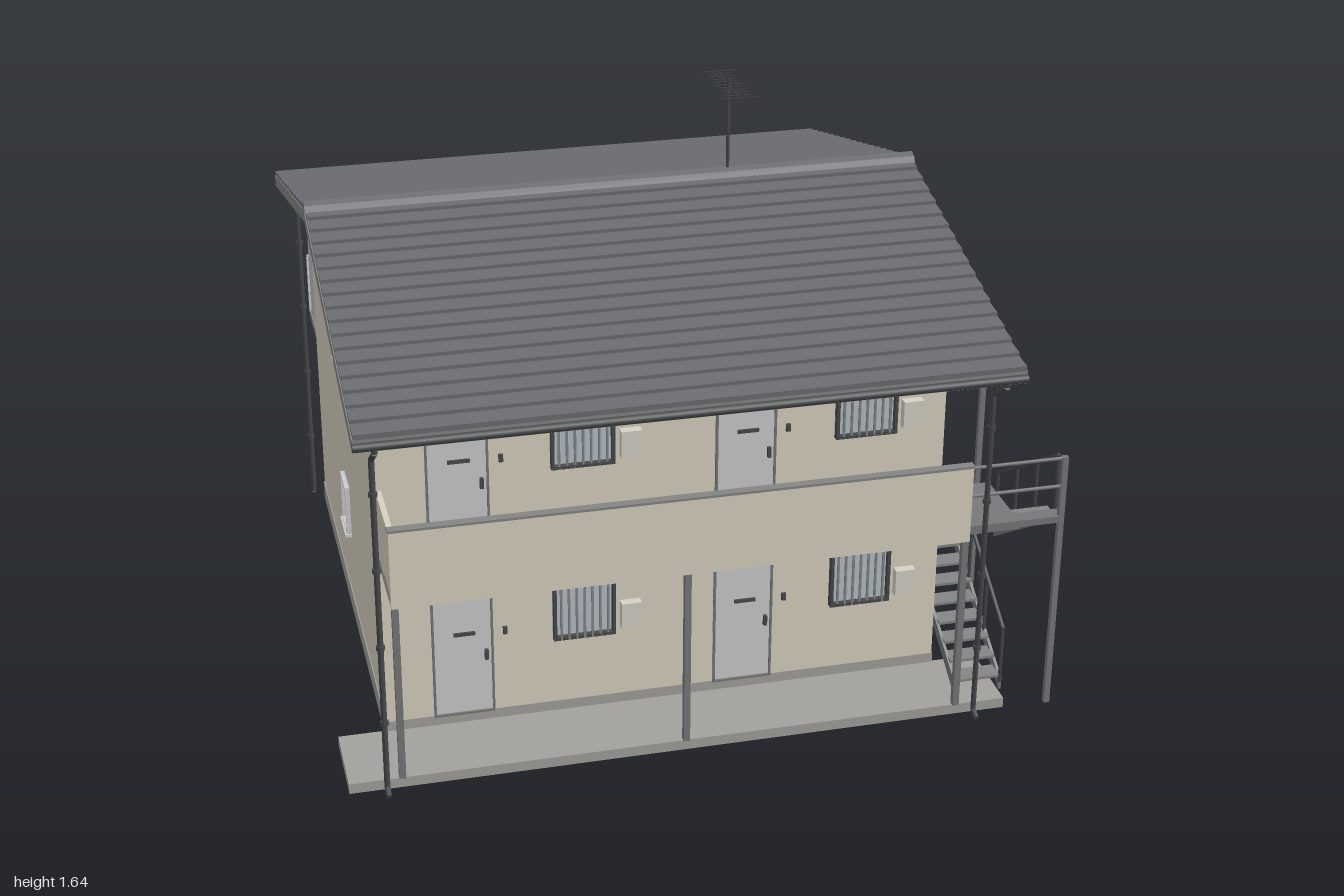
import * as THREE from 'three';

const C = { wall: 0xd8d1c0, grey: 0xcccccc, base: 0xa3a19c, roof: 0x6a6c71, trim: 0x858585, steel: 0x77787a,
  dark: 0x46484a, glass: 0xb4bfc8, darkGlass: 0x343a42, door: 0xc6c7c4, box: 0xd5d2c6 };
const mats = {};
const mat = (c) => (mats[c] ??= new THREE.MeshStandardMaterial({ color: c, side: THREE.DoubleSide }));

function mesh(parent, name, geo, color) {
  const m = new THREE.Mesh(geo, mat(color));
  m.name = name;
  parent.add(m);
  return m;
}
// Box given by its limits on each axis
function box(parent, name, color, x0, x1, y0, y1, z0, z1) {
  const m = mesh(parent, name, new THREE.BoxGeometry(x1 - x0, y1 - y0, z1 - z0), color);
  m.position.set((x0 + x1) / 2, (y0 + y1) / 2, (z0 + z1) / 2);
  return m;
}
// Round bar between two points
function bar(parent, name, color, a, b, r = 0.004, sides = 6) {
  const A = new THREE.Vector3(...a), B = new THREE.Vector3(...b), d = B.clone().sub(A);
  const m = mesh(parent, name, new THREE.CylinderGeometry(r, r, d.length(), sides), color);
  m.position.copy(A).add(B).multiplyScalar(0.5);
  m.quaternion.setFromUnitVectors(new THREE.Vector3(0, 1, 0), d.normalize());
  return m;
}
// Profile of [z, y] points extruded from x0 to x1
function prism(parent, name, color, pts, x0, x1) {
  const g = new THREE.ExtrudeGeometry(new THREE.Shape(pts.map((p) => new THREE.Vector2(...p))),
    { depth: x1 - x0, bevelEnabled: false });
  return mesh(parent, name, g.rotateY(-Math.PI / 2).translate(x1, 0, 0), color);
}
function group(parent, name, x = 0, y = 0, z = 0, ry = 0) {
  const g = new THREE.Group();
  g.name = name;
  g.position.set(x, y, z);
  g.rotation.y = ry;
  parent.add(g);
  return g;
}
// Framed pane facing local +z, origin at its bottom centre
function pane(g, w, h, frame, glass, t = 0.012, d = 0.014) {
  box(g, 'glass', glass, -w / 2, w / 2, 0, h, 0, 0.004);
  for (const s of [-1, 1]) {
    const x = s * (w / 2 - t / 2), y = s > 0 ? h - t : 0;
    box(g, 'frameSide', frame, x - t / 2, x + t / 2, 0, h, 0, d);
    box(g, 'frameEdge', frame, -w / 2, w / 2, y, y + t, 0, d);
  }
}

function frontUnit(p, x, y) {
  const door = group(p, 'entranceDoor', x, y, 0.65);
  pane(door, 0.17, 0.38, C.steel, C.door, 0.006, 0.01);
  box(door, 'letterSlot', C.dark, -0.025, 0.035, 0.25, 0.26, 0.004, 0.01);
  box(door, 'handle', C.dark, 0.06, 0.07, 0.17, 0.2, 0.004, 0.015);
  box(door, 'doorbell', C.dark, 0.113, 0.125, 0.24, 0.262, 0, 0.008);
  const win = group(p, 'barredWindow', x + 0.34, y + 0.205, 0.65);
  pane(win, 0.175, 0.175, C.dark, C.glass, 0.009, 0.02);
  for (let i = 0; i < 7; i++) {
    const bx = -0.066 + i * 0.022;
    box(win, 'windowBar', C.trim, bx - 0.003, bx + 0.003, 0, 0.175, 0.014, 0.02);
  }
  box(p, 'meterBox', C.box, x + 0.443, x + 0.5, y + 0.22, y + 0.3, 0.65, 0.676);
}

function backUnit(p, x, y) {
  const door = group(p, 'slidingDoor', x, y, -0.82, Math.PI);
  pane(door, 0.32, 0.385, C.dark, C.darkGlass, 0.01, 0.016);
  box(door, 'middleStile', C.dark, -0.008, 0.008, 0, 0.385, 0, 0.013);
  const win = group(p, 'backWindow', x + 0.34, y + 0.2, -0.82, Math.PI);
  pane(win, 0.15, 0.18, C.grey, C.glass);
  box(win, 'shutterBox', C.grey, -0.085, 0.085, 0.14, 0.195, 0, 0.042);
}

function airConditioner(p, y) {
  const g = group(p, 'outdoorUnit', 0.05, y, -0.875, Math.PI);
  box(g, 'casing', C.grey, -0.075, 0.075, 0.01, 0.115, 0, 0.055);
  for (const x of [-0.055, 0.055]) box(g, 'foot', C.dark, x - 0.01, x + 0.01, 0, 0.01, 0, 0.055);
  const fan = mesh(g, 'fan', new THREE.CylinderGeometry(0.04, 0.04, 0.004, 20), C.dark);
  fan.rotation.x = Math.PI / 2;
  fan.position.set(-0.02, 0.063, 0.056);
  mesh(g, 'fanRing', new THREE.TorusGeometry(0.028, 0.003, 4, 16), C.grey).position.set(-0.02, 0.063, 0.059);
}

function roof(p) {
  const g = group(p, 'roof'), rz = 0.035, ry = 1.35, k = 0.2565, X0 = -0.955, X1 = 0.81, n = 17;
  const ends = [0.99, -0.925], yAt = (z) => ry - k * Math.abs(z - rz);
  prism(g, 'roofSlab', C.trim, [[ends[0], yAt(ends[0])], [rz, ry], [ends[1], yAt(ends[1])],
    [ends[1], yAt(ends[1]) - 0.035], [rz, ry - 0.035], [ends[0], yAt(ends[0]) - 0.035]], X0, X1);
  // Overlapping tile courses
  for (const e of ends) {
    const pts = [[rz, ry]];
    for (let i = 0; i < n; i++) {
      const a = rz + (e - rz) * i / n, b = rz + (e - rz) * (i + 1) / n;
      pts.push([a, yAt(a) + 0.004], [b, yAt(b) + 0.014]);
    }
    pts.push([e, yAt(e)]);
    prism(g, 'tiles', C.roof, pts, X0 + 0.003, X1 - 0.003);
    // Gutter and its downpipes
    const s = Math.sign(e), gz = e + s * 0.002, wz = s > 0 ? 0.905 : -0.835;
    bar(g, 'gutter', C.dark, [X0, 1.085, gz], [X1, 1.085, gz], 0.012, 10);
    for (const x of [-0.9, 0.755]) {
      const pipe = [[x, 1.08, gz], [x, 1.065, gz], [x, 1.005, wz], [x, 0.025, wz], [x, 0.012, wz + s * 0.03]];
      for (let i = 0; i < 4; i++) bar(g, 'downpipe', C.dark, pipe[i], pipe[i + 1], 0.008, 8);
      for (const y of [0.22, 0.45, 0.68, 0.9]) bar(g, 'pipeClip', C.dark, [x, y, wz], [x, y + 0.012, wz], 0.012, 8);
    }
  }
  prism(g, 'ridgeCap', C.roof, [[rz + 0.03, 1.35], [rz + 0.02, 1.368], [rz, 1.376], [rz - 0.02, 1.368],
    [rz - 0.03, 1.35]], X0, X1);
  // Antenna
  const a = group(g, 'antenna', 0.255, 0, rz);
  bar(a, 'mast', C.dark, [0, 1.36, 0], [0, 1.64, 0], 0.005);
  bar(a, 'boom', C.dark, [0, 1.62, 0.13], [0, 1.62, -0.135], 0.002);
  for (let i = 0; i < 11; i++) {
    const z = -0.125 + i * 0.0245, w = i % 5 ? 0.035 : 0.05;
    bar(a, 'element', C.dark, [-w, 1.62, z], [w, 1.62, z], 0.0015, 4);
  }
}

function stairs(p) {
  const g = group(p, 'outsideStairs');
  box(g, 'middleLanding', C.steel, 0.722, 0.99, 0.31, 0.325, 0.25, 0.43);
  box(g, 'upperLanding', C.steel, 0.72, 0.99, 0.58, 0.6, 0.84, 0.885);
  box(g, 'upperLanding', C.steel, 0.72, 0.862, 0.575, 0.6, 0.65, 0.885);
  for (const z of [0.26, 0.878]) box(g, 'post', C.steel, 0.977, 0.993, 0, 0.78, z - 0.008, z + 0.008);
  const zA = 0.84, zB = 0.425;
  for (const [x0, x1, yA, yB, rx] of [[0.725, 0.858, 0.06, 0.32, 0.856], [0.862, 0.985, 0.59, 0.32, 0.984]]) {
    for (const x of [x0, x1]) {
      prism(g, 'stringer', C.steel, [[zA, yA + 0.012], [zB, yB + 0.006], [zB, yB - 0.03], [zA, yA - 0.025]],
        x - 0.004, x + 0.004);
    }
    for (let i = 0; i < 8; i++) {
      const t = (i + 0.5) / 8, z = zA + (zB - zA) * t, y = yA + (yB - yA) * t;
      box(g, 'tread', C.trim, x0, x1, y, y + 0.008, z - 0.028, z + 0.028);
    }
    bar(g, 'handrail', C.dark, [rx, yA + 0.175, zA], [rx, yB + 0.18, zB], 0.006);
    for (let i = 0; i < 4; i++) {
      const t = i / 3, z = zA + (zB - zA) * t, y = yA + (yB - yA) * t;
      bar(g, 'baluster', C.dark, [rx, y, z], [rx, y + 0.178, z], 0.005);
    }
  }
  // Guard on the street side of the upper landing
  for (const y of [0.69, 0.775]) bar(g, 'landingRail', C.steel, [0.72, y, 0.878], [0.985, y, 0.878], 0.005);
}

function backBalcony(p) {
  const g = group(p, 'backBalcony');
  box(g, 'floor', C.trim, -0.865, 0.72, 0.575, 0.6, -1, -0.82);
  for (const y of [0.62, 0.785]) box(g, 'rail', C.grey, -0.865, 0.72, y, y + 0.012, -0.997, -0.983);
  for (let i = 0; i <= 56; i++) {
    const x = -0.86 + i * 1.575 / 56, w = i % 14 ? 0.003 : 0.007;
    box(g, 'railBar', C.grey, x - w, x + w, 0.6, 0.79, -0.993, -0.987);
  }
  // Frosted partitions at the ends and between the flats
  for (const x of [-0.86, -0.0675, 0.715]) pane(group(g, 'partition', x, 0.6, -0.915, Math.PI / 2), 0.15, 0.32, C.steel, C.glass, 0.007, 0.008);
  // Washing lines with clothes
  for (const [a, b] of [[-0.84, -0.09], [-0.04, 0.7]]) {
    bar(g, 'clothesPole', C.grey, [a, 0.905, -0.965], [b, 0.905, -0.965], 0.004);
    for (const x of [a + 0.06, b - 0.06]) bar(g, 'poleArm', C.steel, [x, 0.905, -0.82], [x, 0.905, -0.97], 0.004);
  }
  const clothes = [[0.59, 0.06, 0.13, 0xa8443e], [0.49, 0.07, 0.1, 0xc9c6b8], [0.4, 0.05, 0.09, 0x8f9a8a],
    [0.32, 0.06, 0.12, 0xb8b09c], [0.18, 0.09, 0.15, 0x45608f], [0.07, 0.05, 0.08, 0xcccccc],
    [-0.2, 0.08, 0.13, 0xa7aaa6], [-0.31, 0.06, 0.1, 0xc2bfb0], [-0.4, 0.06, 0.12, 0x8d9793]];
  for (const [x, w, h, c] of clothes) box(g, 'laundry', c, x - w / 2, x + w / 2, 0.907 - h, 0.907, -0.968, -0.962);
}

export function createModel() {
  const root = new THREE.Group();
  root.name = 'apartmentHouse';
  // Body with gables that run out over the front gallery
  prism(root, 'walls', C.wall, [[0.65, 0.03], [0.65, 1.12], [0.8, 1.12], [0.035, 1.317], [-0.82, 1.098], [-0.82, 0.03]],
    -0.865, 0.72);
  box(root, 'foundation', C.base, -0.868, 0.723, 0, 0.06, -0.823, 0.65);
  box(root, 'frontStep', C.base, -1, 0.855, 0, 0.03, 0.645, 0.88);
  roof(root);
  // Front gallery
  const gallery = group(root, 'frontGallery');
  box(gallery, 'floor', C.base, -0.865, 0.72, 0.56, 0.6, 0.65, 0.875);
  box(gallery, 'parapet', C.wall, -0.865, 0.72, 0.555, 0.78, 0.868, 0.888);
  box(gallery, 'parapetEnd', C.wall, -0.865, -0.85, 0.555, 0.78, 0.65, 0.87);
  box(gallery, 'parapetCap', C.trim, -0.867, 0.722, 0.78, 0.787, 0.865, 0.891);
  for (const x of [-0.855, -0.07, 0.71]) box(gallery, 'post', C.steel, x - 0.009, x + 0.009, 0.03, 0.555, 0.868, 0.886);
  // Four flats
  for (const y of [0.06, 0.59]) {
    for (const x of [-0.647, 0.148]) frontUnit(root, x, y);
    for (const x of [-0.55, 0.23]) backUnit(root, x, y + 0.01);
    for (const s of [-1, 1]) {
      const w = group(root, 'sideWindow', s > 0 ? 0.72 : -0.865, y + 0.225, -0.085, s * Math.PI / 2);
      pane(w, 0.115, 0.157, C.grey, C.glass, 0.01);
      box(w, 'sill', C.grey, -0.062, 0.062, -0.005, 0.004, 0, 0.02);
    }
  }
  // Gable vents with slats
  for (const s of [-1, 1]) {
    const v = group(root, 'gableVent', s > 0 ? 0.72 : -0.865, 1.18, 0.035, s * Math.PI / 2);
    pane(v, 0.1, 0.075, C.trim, C.steel, 0.007);
    for (let i = 1; i < 6; i++) box(v, 'slat', C.trim, -0.045, 0.045, i * 0.0125, i * 0.0125 + 0.005, 0, 0.01);
  }
  backBalcony(root);
  airConditioner(root, 0);
  airConditioner(root, 0.6);
  stairs(root);
  return root;
}
